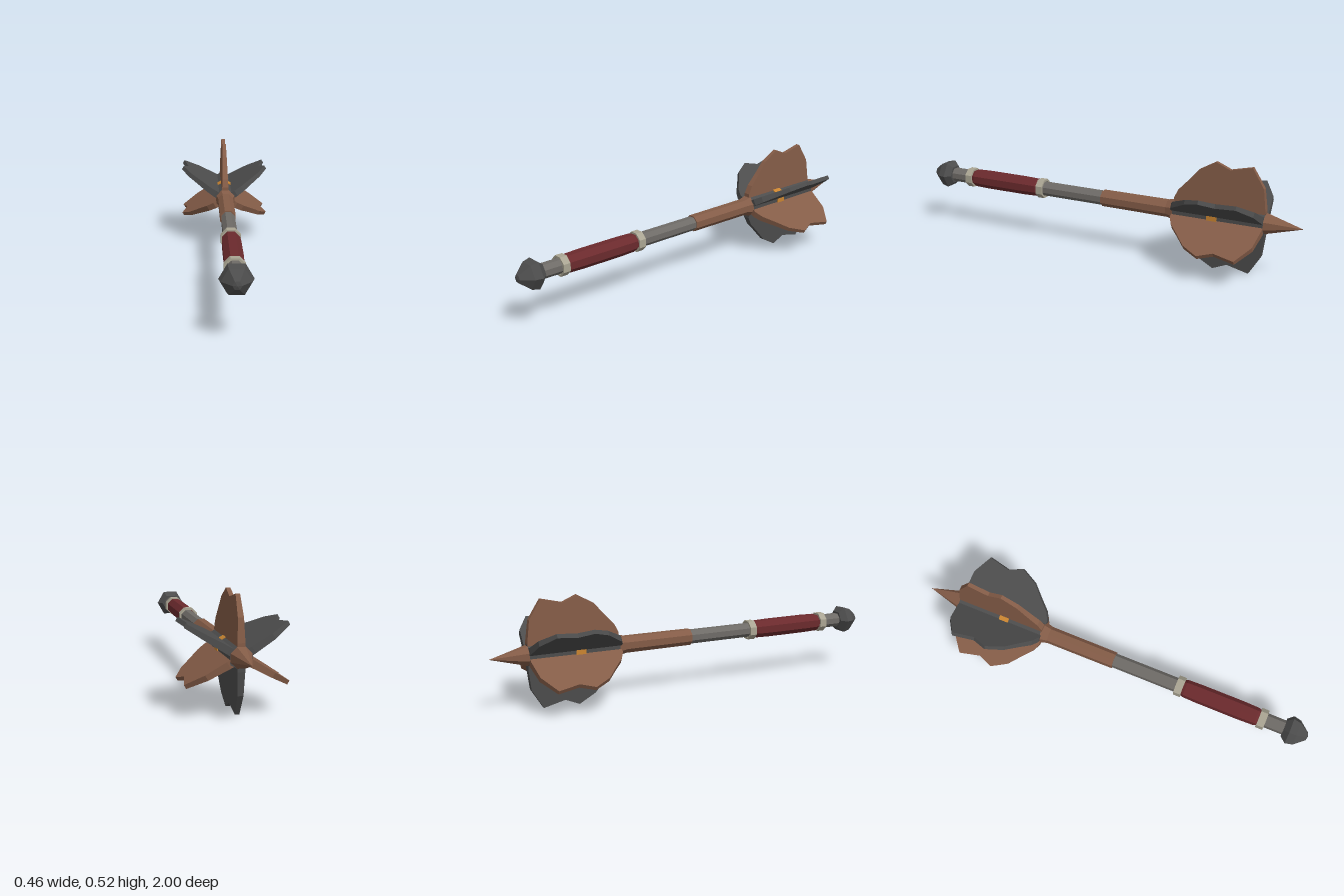
import * as THREE from 'three';

const mat = (name, color) => {
  const m = new THREE.MeshStandardMaterial({ color, flatShading: true });
  m.name = name;
  return m;
};

export function createModel() {
  const model = new THREE.Group();
  model.name = 'flangedMace';
  const bronze = mat('bronze', 0x845c47);
  const darkIron = mat('darkIron', 0x4c4c4c);
  const steel = mat('steel', 0x6e6b67);
  const leather = mat('redLeather', 0x6b2a2d);
  const pale = mat('paleMetal', 0xaaa593);
  const gold = mat('gold', 0xc98430);
  const AXIS_Y = 0.26;

  const add = (name, geometry, material) => {
    const mesh = new THREE.Mesh(geometry, material);
    mesh.name = name;
    mesh.position.y = AXIS_Y;
    model.add(mesh);
    return mesh;
  };

  // Faceted part turned around the z axis; profile is [z, radius] with z rising
  const turned = (name, material, profile, sides, phase) => {
    const pts = profile.map(([z, r]) => new THREE.Vector2(r, z));
    const g = new THREE.LatheGeometry(pts, sides, phase).rotateX(Math.PI / 2);
    return add(name, g, material);
  };
  // Octagonal part with flat sides up; radii measured to the flats
  const octagon = (name, material, profile) =>
    turned(name, material, profile.map(([z, r]) => [z, r / Math.cos(Math.PI / 8)]), 8, Math.PI / 8);

  // Handle
  octagon('shaft', steel, [[-0.02, 0], [-0.02, 0.033], [0.9, 0.033], [0.9, 0]]);
  octagon('grip', leather, [[0.355, 0.034], [0.375, 0.041], [0.45, 0.043], [0.66, 0.043], [0.74, 0.041], [0.76, 0.034]]);
  for (const [name, z] of [['frontCollar', 0.77], ['rearCollar', 0.345]]) {
    octagon(name, pale, [
      [z - 0.018, 0.037], [z - 0.018, 0.046], [z + 0.018, 0.046], [z + 0.018, 0.037], [z - 0.018, 0.037],
    ]);
  }
  turned('pommel', darkIron, [
    [0.88, 0], [0.88, 0.048], [0.908, 0.073], [0.945, 0.064], [0.995, 0.02], [1, 0],
  ], 6, Math.PI / 2);

  // Head: neck, hexagonal core, gold band and spike
  octagon('neck', bronze, [[-0.4, 0], [-0.385, 0.049], [-0.345, 0.039], [0, 0.038], [0, 0]]);
  turned('headCore', darkIron, [[-0.825, 0], [-0.825, 0.055], [-0.385, 0.057], [-0.375, 0]], 6, 0);
  turned('goldBand', gold, [[-0.605, 0.05], [-0.605, 0.061], [-0.557, 0.061], [-0.557, 0.05]], 6, 0);
  octagon('spike', bronze, [[-1, 0], [-0.825, 0.045], [-0.815, 0]]);

  // Six flanges of alternating metal, thinner towards the outer edge; outline is [z, radius]
  const outline = [
    [-0.38, 0.03], [-0.38, 0.065], [-0.4, 0.105], [-0.447, 0.155], [-0.5, 0.215], [-0.58, 0.26],
    [-0.65, 0.23], [-0.755, 0.255], [-0.812, 0.163], [-0.825, 0.06], [-0.825, 0.03],
  ];
  const shape = new THREE.Shape(outline.map(([z, r]) => new THREE.Vector2(z, r)));
  const flange = new THREE.ExtrudeGeometry(shape, { depth: 1, bevelEnabled: false });
  const p = flange.attributes.position;
  for (let i = 0; i < p.count; i++) {
    const half = 0.0165 - (p.getY(i) - 0.06) * 0.035;
    p.setZ(i, (p.getZ(i) - 0.5) * 2 * half);
  }
  flange.rotateY(-Math.PI / 2);
  flange.computeVertexNormals();
  for (let i = 0; i < 6; i++) {
    add('flange' + (i + 1), flange, i % 2 ? darkIron : bronze).rotation.z = (i * Math.PI) / 3;
  }

  return model;
}
